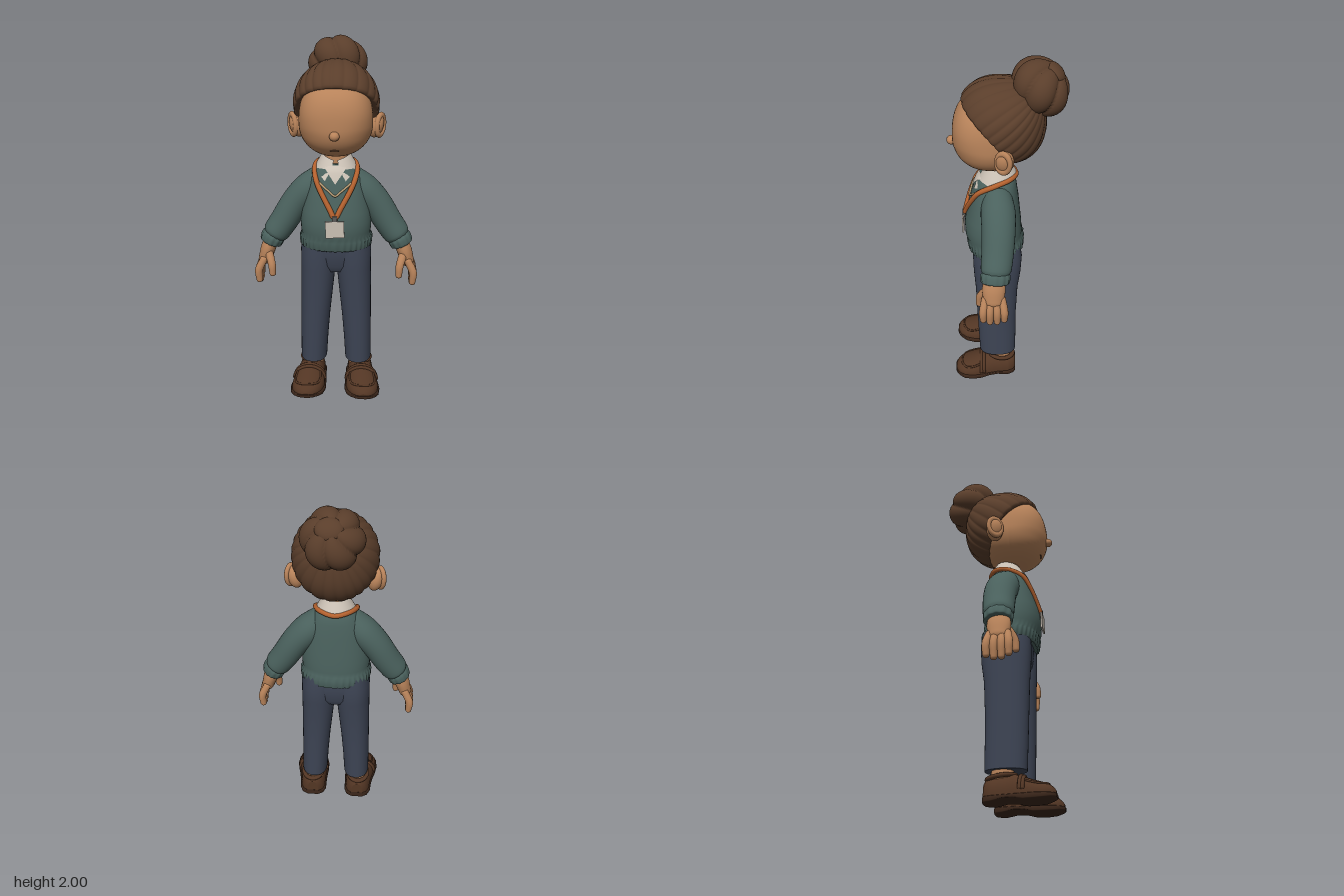
import * as THREE from 'three';

const V = (x, y, z) => new THREE.Vector3(x, y, z);
const mat = (name, color) => Object.assign(new THREE.MeshStandardMaterial({ color }), { name });

// Skin a stack of closed rings, with crisp end caps
function skin(rings) {
  const centre = r => { const c = V(0, 0, 0); r.forEach(p => c.add(p)); c.divideScalar(r.length); return r.map(() => c); };
  const first = rings[0], last = rings[rings.length - 1];
  const all = [centre(first), first, ...rings, last, centre(last)];
  const n = first.length, pos = [], idx = [];
  all.forEach(r => r.forEach(p => pos.push(p.x, p.y, p.z)));
  for (let i = 0; i < all.length - 1; i++) for (let j = 0; j < n; j++) {
    const a = i * n + j, b = i * n + (j + 1) % n;
    idx.push(a, a + n, b, b, a + n, b + n);
  }
  const g = new THREE.BufferGeometry();
  g.setAttribute('position', new THREE.Float32BufferAttribute(pos, 3));
  g.setIndex(idx);
  g.computeVertexNormals();
  return g;
}
const ring = (n, f) => Array.from({ length: n }, (_, j) => f(j / n * Math.PI * 2));
const pw = (v, e) => Math.sign(v) * Math.abs(v) ** e;

// Linear lookup in a table whose first column is the key
function at(table, t) {
  let i = 0;
  while (i < table.length - 2 && t > table[i + 1][0]) i++;
  const a = table[i], b = table[i + 1];
  const k = THREE.MathUtils.clamp((t - a[0]) / (b[0] - a[0]), 0, 1);
  return a.map((v, c) => v + (b[c] - v) * k);
}

// Upright loft: rows of [y, rx, cz, rz, cx]
function loft(rows, n = 40, rib = () => 0) {
  return skin(rows.map(([y, rx, cz, rz, cx = 0]) => ring(n, a => {
    const m = 1 + rib(a, y);
    return V(cx + rx * m * pw(Math.cos(a), 0.87), y, cz + rz * m * pw(Math.sin(a), 0.87));
  })));
}

// Rounded limb along points [x, y, z, r]
function limb(pts, zScale = 1, steps = 14, n = 24, rib = 0) {
  const path = new THREE.CatmullRomCurve3(pts.map(p => V(p[0], p[1], p[2])));
  const rad = new THREE.CatmullRomCurve3(pts.map((p, i) => V(p[3], i, 0)));
  const rings = [];
  const add = (t, push, k) => {
    const T = path.getTangent(t), r = rad.getPoint(t).x, c = path.getPoint(t).addScaledVector(T, push * r);
    const W = V(0, 0, 1).addScaledVector(T, -T.z).normalize(), U = T.clone().cross(W);
    rings.push(ring(n, a => {
      const q = r * k * (1 + rib * Math.cos(12 * a));
      return c.clone().addScaledVector(U, q * Math.cos(a)).addScaledVector(W, q * zScale * Math.sin(a));
    }));
  };
  const cap = rib ? 0.15 : 0.8;
  for (const b of [1.45, 1.1, 0.75, 0.4]) add(0, -Math.sin(b) * cap, Math.cos(b));
  for (let i = 0; i <= steps; i++) add(i / steps, 0, 1);
  for (const b of [0.4, 0.75, 1.1, 1.45]) add(1, Math.sin(b) * cap, Math.cos(b));
  return skin(rings);
}
const tube = (pts, r, closed = false) =>
  new THREE.TubeGeometry(new THREE.CatmullRomCurve3(pts, closed), 64, r, 8, closed);

const TORSO = [
  [0.885, 0.18, 0.055, 0.145], [0.893, 0.197, 0.055, 0.155], [0.94, 0.2, 0.057, 0.16],
  [0.956, 0.187, 0.062, 0.153], [0.985, 0.193, 0.067, 0.158], [1.04, 0.193, 0.069, 0.157], [1.1, 0.186, 0.068, 0.15],
  [1.2, 0.166, 0.06, 0.132], [1.28, 0.14, 0.055, 0.116], [1.33, 0.108, 0.05, 0.1], [1.36, 0.07, 0.05, 0.075]];
function chestZ(x, y) {
  const [, rx, cz, rz] = at(TORSO, y);
  return cz + rz * Math.max(0, 1 - Math.abs(x / rx) ** 2.3) ** (1 / 2.3);
}
const LEG = [[0.165, 0.076, 0.05, 0.108, 0.13], [0.3, 0.079, 0.052, 0.111, 0.125], [0.45, 0.084, 0.054, 0.114, 0.118],
  [0.65, 0.093, 0.052, 0.122, 0.106], [0.76, 0.098, 0.048, 0.134, 0.1], [0.86, 0.1, 0.046, 0.138, 0.097], [0.94, 0.092, 0.05, 0.13, 0.09]];
// Shoe sections: z, centre x, half width, height
const SHOE = [[-0.058, 0.14, 0.035, 0.08], [-0.045, 0.14, 0.058, 0.1], [-0.01, 0.141, 0.074, 0.105], [0.05, 0.144, 0.077, 0.11],
  [0.1, 0.148, 0.083, 0.118], [0.15, 0.153, 0.09, 0.1], [0.2, 0.157, 0.094, 0.082], [0.25, 0.161, 0.085, 0.066],
  [0.28, 0.164, 0.065, 0.052], [0.298, 0.165, 0.042, 0.036], [0.305, 0.165, 0.02, 0.022]];

export function createModel() {
  const skinM = mat('skin', 0xb8835a), hairM = mat('hair', 0x5a3e2b), knitM = mat('knit', 0x4a615d);
  const trouserM = mat('trouserCloth', 0x3d4454), leatherM = mat('leather', 0x533624), soleM = mat('soleRubber', 0x3c271b);
  const shirtM = mat('shirtCloth', 0xcbc1b5), orangeM = mat('orangeWebbing', 0xb5622f);
  const chainM = mat('chainGold', 0xb39a74), metalM = mat('clipMetal', 0x5c5a58);
  shirtM.side = THREE.DoubleSide;
  const root = new THREE.Group();
  const add = (name, geo, m, parent = root) => {
    const o = new THREE.Mesh(geo, m);
    o.name = name;
    parent.add(o);
    return o;
  };
  const blob = (name, m, p, s) => {
    const o = add(name, new THREE.SphereGeometry(1, 28, 20), m);
    o.position.set(...p);
    o.scale.set(...s);
    return o;
  };

  // Face: rounded egg, boxier at the brow
  const face = new THREE.SphereGeometry(1, 56, 40), fp = face.attributes.position;
  for (let i = 0; i < fp.count; i++) {
    const v = V(0, 0, 0).fromBufferAttribute(fp, i);
    const p = 2.1 + 0.4 * THREE.MathUtils.smoothstep(v.y, -0.3, 0.3);
    const r = (Math.abs(v.x) ** p + Math.abs(v.y) ** p + Math.abs(v.z) ** p) ** (-1 / p);
    fp.setXYZ(i, v.x * r * 0.195, 1.575 + v.y * r * (v.y > 0 ? 0.24 : 0.175), 0.08 + v.z * r * 0.195);
  }
  face.computeVertexNormals();
  add('face', face, skinM);
  blob('nose', skinM, [0, 1.55, 0.28], [0.026, 0.024, 0.026]);
  add('mouth', tube([V(-0.022, 1.462, 0.233), V(0, 1.466, 0.238), V(0.022, 1.462, 0.233)], 0.0035), hairM);
  add('neck', loft([[1.3, 0.065, 0.045, 0.065], [1.46, 0.06, 0.045, 0.06]], 28), skinM);

  // Swept-back hair: strands run from the bun to the hairline
  const A = V(0, 0.636, -0.772), F = V(0, 0.772, 0.636);
  const hairRing = (k, scale) => ring(240, a => {
    const side = Math.cos(a) ** 2, th = k * (1.91 - 0.12 * side);
    const d = A.clone().multiplyScalar(Math.cos(th)).addScaledVector(F, Math.sin(th) * Math.sin(a));
    d.x = Math.sin(th) * Math.cos(a);
    const ex = d.x / 0.228, yz = (Math.abs(d.y / 0.228) ** 2.3 + Math.abs(d.z / 0.232) ** 2.3) ** (2 / 2.3);
    const strand = Math.abs(Math.sin(12 * a + 0.9 * Math.sin(3 * a))) ** 0.6 - 0.75;
    const r = scale * (1 + 0.03 * strand * Math.sin(th)) / Math.sqrt(ex * ex + yz);
    return V(0, 1.665, 0.02).addScaledVector(d, r);
  });
  const hairRings = [hairRing(1, 0.84), hairRing(1.01, 0.95), hairRing(1, 0.985)];
  for (let i = 27; i >= 0; i--) hairRings.push(hairRing(0.01 + i / 28, 1));
  add('hairCap', skin(hairRings), hairM);

  // Bun: squat ball pinched into twisted lobes
  const B = V(0, 0.707, -0.707), G = V(0, 0.707, 0.707), bun = [];
  for (let i = 40; i >= 0; i--) {
    const th = 0.02 + i / 40 * 3.1;
    bun.push(ring(120, a => {
      const lobe = 1 + 0.17 * (Math.abs(Math.sin(3 * a + 0.9 * th)) ** 0.6 - 0.85) * Math.sin(th) ** 0.7;
      const p = V(0, 1.85, -0.175).addScaledVector(B, 0.13 * Math.cos(th) * lobe);
      p.addScaledVector(G, 0.158 * Math.sin(th) * Math.sin(a) * lobe);
      p.x = 0.158 * Math.sin(th) * Math.cos(a) * lobe;
      return p;
    }));
  }
  add('bun', skin(bun), hairM);
  const coil = blob('bunCoil', hairM, [0.01, 1.93, -0.245], [0.07, 0.035, 0.06]);
  coil.rotation.x = -0.78;

  // Sweater body with ribbed hem
  add('sweaterBody', loft(TORSO, 144, (a, y) => y < 0.95 ? 0.018 * Math.cos(36 * a) : 0), knitM);

  // Shirt front and folded collar
  const bib = new THREE.PlaneGeometry(1, 1, 8, 8), bp = bib.attributes.position;
  for (let i = 0; i < bp.count; i++) {
    const v = bp.getY(i) + 0.5, x = bp.getX(i) * 0.13 * v, y = 1.265 + 0.09 * v;
    bp.setXYZ(i, x, y, chestZ(x, y) + 0.006);
  }
  bib.computeVertexNormals();
  add('shirtFront', bib, shirtM);
  const collar = new THREE.PlaneGeometry(1, 1, 48, 4), cp = collar.attributes.position;
  for (let i = 0; i < cp.count; i++) {
    const u = cp.getX(i) * 2, v = 0.5 - cp.getY(i);
    const a = u * (Math.PI - 0.12 - 0.3 * v), front = Math.abs(u) ** 5;
    const r = 0.073 + 0.037 * v + 0.025 * front * v;
    cp.setXYZ(i, -Math.sin(a) * r, 1.415 - 0.035 * Math.abs(u) ** 2 - v * (0.065 + 0.035 * front), 0.047 - Math.cos(a) * r);
  }
  collar.computeVertexNormals();
  add('collar', collar, shirtM);

  // Lanyard, chain and badge
  const onChest = (x, y, lift) => V(x, y, chestZ(x, y) + lift);
  const half = s => [V(s * 0.075, 1.35, -0.025), V(s * 0.113, 1.335, 0.05), onChest(s * 0.105, 1.285, 0.008),
    onChest(s * 0.083, 1.235, 0.006), onChest(s * 0.03, 1.14, 0.005)];
  add('lanyard', tube([V(0, 1.345, -0.058), ...half(1), onChest(0, 1.09, 0.006), ...half(-1).reverse()], 0.014, true), orangeM);
  const chainPts = [-0.085, -0.06, -0.03, 0, 0.03, 0.06, 0.085].map(x => onChest(x, 1.205 + 0.85 * Math.abs(x) ** 1.05, 0.006));
  add('chain', tube(chainPts, 0.006), chainM);
  add('badgeClip', new THREE.BoxGeometry(0.026, 0.04, 0.018), metalM).position.set(0, 1.085, 0.23);
  const badge = add('badge', new THREE.BoxGeometry(0.1, 0.092, 0.009), shirtM);
  badge.position.set(0, 1.03, 0.236);
  badge.rotation.z = 0.04;

  // Seat of the trousers
  add('trouserSeat', loft([[0.74, 0.12, 0.045, 0.1], [0.78, 0.18, 0.045, 0.122], [0.86, 0.195, 0.046, 0.134], [0.94, 0.185, 0.05, 0.13]], 48), trouserM);

  for (const s of [1, -1]) {
    const side = new THREE.Group();
    side.name = s > 0 ? 'leftSide' : 'rightSide';
    root.add(side);
    const L = (name, pts, m, ...o) => add(name, limb(pts.map(p => [s * p[0], p[1], p[2], p[3]]), ...o), m, side);

    // Ear with raised rim
    const ear = blob('ear', skinM, [s * 0.212, 1.543, 0.005], [0.04, 0.066, 0.048]);
    ear.rotation.z = -s * 0.25;
    const rim = add('earRim', new THREE.TorusGeometry(0.042, 0.014, 10, 32), skinM, side);
    rim.position.set(s * 0.234, 1.548, 0.012);
    rim.scale.set(0.9, 1.25, 1);
    rim.rotation.set(0, s * 1.05, -s * 0.15);

    // Sleeve, cuff and hand
    L('sleeve', [[0.09, 1.26, 0.045, 0.07], [0.15, 1.2, 0.04, 0.084], [0.22, 1.12, 0.038, 0.082], [0.29, 1.01, 0.045, 0.078],
      [0.335, 0.945, 0.053, 0.074], [0.348, 0.925, 0.055, 0.062]], knitM, 1.1, 20, 32);
    L('cuff', [[0.342, 0.938, 0.055, 0.058], [0.352, 0.92, 0.056, 0.066], [0.366, 0.888, 0.058, 0.063]], knitM, 1.2, 6, 72, 0.025);
    L('palm', [[0.36, 0.91, 0.06, 0.038], [0.382, 0.85, 0.065, 0.042], [0.403, 0.785, 0.067, 0.036]], skinM, 1.5);
    [[0.01, 0.675], [0.049, 0.66], [0.088, 0.66], [0.124, 0.675]].forEach(([z, tip]) =>
      L('finger', [[0.402, 0.8, 0.067 + (z - 0.067) * 0.8, 0.021], [0.432, 0.735, z, 0.022], [0.43, tip, z, 0.018]], skinM, 1, 10, 14));
    L('thumb', [[0.378, 0.845, 0.1, 0.024], [0.356, 0.78, 0.14, 0.022], [0.352, 0.725, 0.147, 0.018]], skinM, 1, 10, 14);

    // Trouser leg and ankle
    add('trouserLeg', loft(LEG.map(([y, rx, cz, rz, cx]) => [y, rx, cz, rz, s * cx])), trouserM, side);
    add('ankle', loft([[0.08, 0.055, 0.03, 0.06, s * 0.135], [0.2, 0.05, 0.035, 0.055, s * 0.132]], 28), skinM, side);

    // Loafer: upper, sole, collar, strap and toe seam
    const onShoe = (z, a, grow = 1) => {
      const [, cx, w, h] = at(SHOE, z), q = Math.sin(a);
      return V(s * cx - w * grow * Math.cos(a), 0.027 + (q > 0 ? h * grow * q ** 0.8 : 0.012 * q), z);
    };
    add('shoeUpper', skin(SHOE.map(r => ring(36, a => onShoe(r[0], a)))), leatherM, side);
    const lift = [[-0.06, 0], [0.03, 0], [0.045, 0.014], [0.1, 0.012], [0.15, 0], [0.23, 0], [0.31, 0.018]];
    add('shoeSole', skin(SHOE.map(([z, cx, w]) => ring(32, a => {
      const lo = at(lift, z)[1], hi = 0.036;
      return V(s * cx - (w + 0.008) * pw(Math.cos(a), 0.4), (lo + hi) / 2 + (hi - lo) / 2 * pw(Math.sin(a), 0.4), z * 1.01);
    }))), soleM, side);
    const opening = add('shoeOpening', new THREE.TorusGeometry(0.06, 0.012, 10, 36), leatherM, side);
    opening.position.set(s * 0.142, 0.131, 0.03);
    opening.rotation.x = Math.PI / 2 - 0.12;
    opening.scale.set(1, 1.2, 1);
    const arc = z => Array.from({ length: 13 }, (_, i) => onShoe(z, 0.15 + i / 12 * 2.84, 1.01));
    add('shoeStrap', tube(arc(0.135), 0.011), leatherM, side);
    add('shoeStrap', tube(arc(0.15), 0.01), leatherM, side);
    const seam = [[0.15, 0.75], [0.2, 0.7], [0.24, 0.75], [0.264, 1.1], [0.27, 1.57], [0.264, 2.04], [0.24, 2.39], [0.2, 2.44], [0.15, 2.39]];
    add('toeSeam', tube(seam.map(([z, a]) => onShoe(z, a)), 0.006), leatherM, side);
  }
  return root;
}
